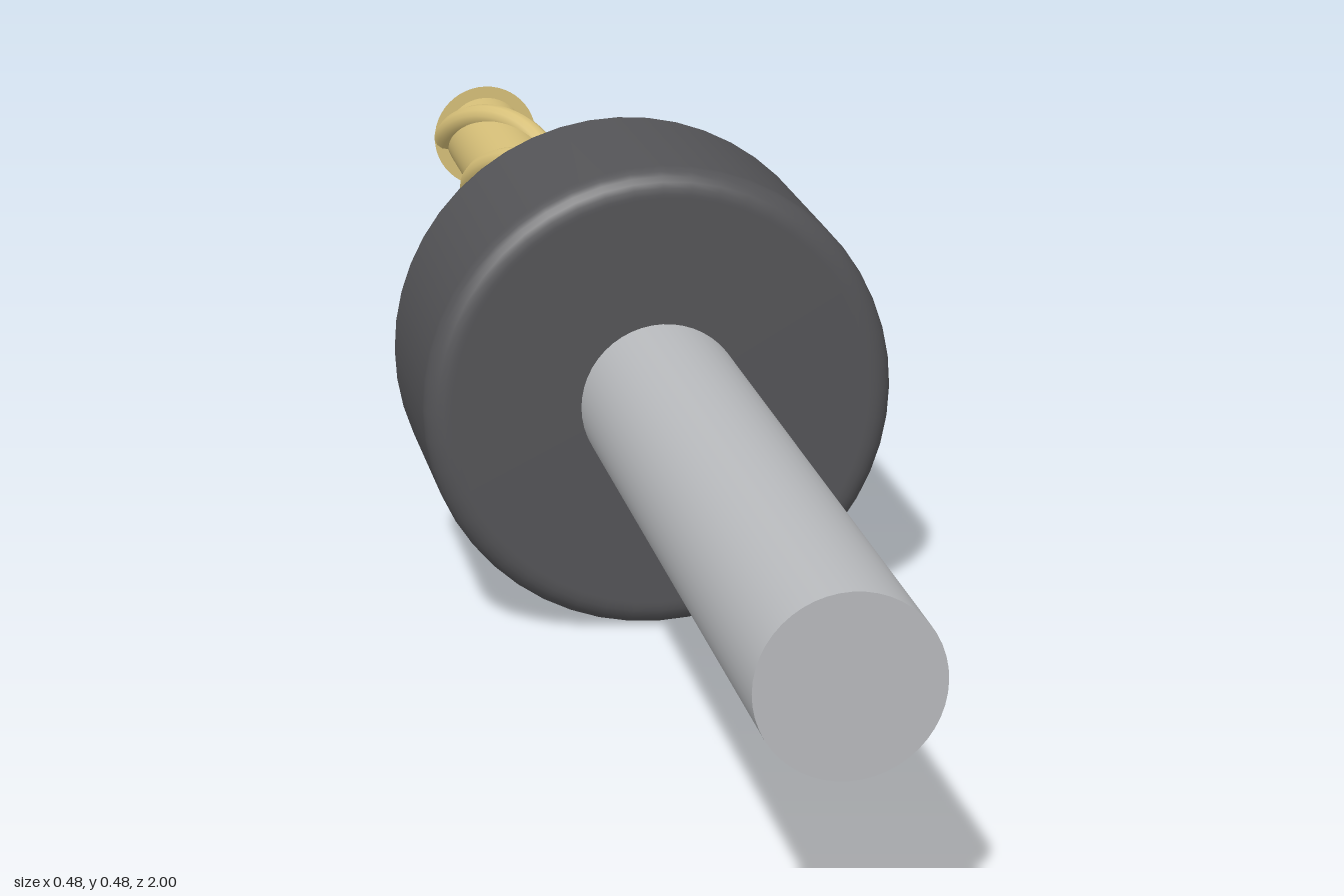
import * as THREE from 'three';

const AXIS_Y = 0.242;

export function createModel() {
  const steel = new THREE.MeshStandardMaterial({ color: 0xb8babd });
  steel.name = 'brushed steel';
  const rubber = new THREE.MeshStandardMaterial({ color: 0x545457 });
  rubber.name = 'dark collar grey';
  const gold = new THREE.MeshStandardMaterial({ color: 0xd6bf78 });
  gold.name = 'gold coating';

  const model = new THREE.Group();
  model.name = 'drillBit';

  const add = (name, geometry, material) => {
    const mesh = new THREE.Mesh(geometry, material);
    mesh.name = name;
    model.add(mesh);
    return mesh;
  };

  // Round section along z, from the front end to the back end
  const rod = (name, zFront, zBack, rFront, rBack, material) => {
    const geometry = new THREE.CylinderGeometry(rFront, rBack, zFront - zBack, 48);
    geometry.rotateX(Math.PI / 2);
    geometry.translate(0, AXIS_Y, (zFront + zBack) / 2);
    return add(name, geometry, material);
  };

  rod('shank', 1, -0.2, 0.083, 0.083, steel);
  rod('shankTaper', -0.2, -0.263, 0.083, 0.068, steel);
  rod('fluteCore', -0.26, -0.965, 0.051, 0.051, gold);
  rod('pointCone', -0.965, -1, 0.066, 0, gold);

  // Depth collar with rounded rims
  const R = 0.241, bevel = 0.024, z0 = -0.05, z1 = 0.21;
  const profile = [new THREE.Vector2(0.07, z0), new THREE.Vector2(R - bevel - 0.004, z0)];
  const rim = (z, from) => {
    for (let i = 0; i <= 6; i++) {
      const a = from + (i / 6) * Math.PI / 2;
      profile.push(new THREE.Vector2(R - bevel + bevel * Math.cos(a), z + bevel * Math.sin(a)));
    }
  };
  rim(z0 + bevel, -Math.PI / 2);
  rim(z1 - bevel, 0);
  profile.push(new THREE.Vector2(R - bevel - 0.004, z1), new THREE.Vector2(0.07, z1));
  const collar = new THREE.LatheGeometry(profile, 48);
  collar.rotateX(Math.PI / 2);
  collar.translate(0, AXIS_Y, 0);
  add('depthCollar', collar, rubber);

  // Two opposite spiral cutting ridges
  const spiralRadius = 0.052, ridge = 0.015, turns = 1.5;
  for (const [name, phase] of [['spiralRidgeA', 0], ['spiralRidgeB', Math.PI]]) {
    const points = [];
    for (let i = 0; i <= 36; i++) {
      const t = i / 36;
      const a = phase + t * turns * Math.PI * 2;
      points.push(new THREE.Vector3(
        Math.cos(a) * spiralRadius,
        AXIS_Y + Math.sin(a) * spiralRadius,
        -0.262 - t * 0.702,
      ));
    }
    const path = new THREE.CatmullRomCurve3(points);
    add(name, new THREE.TubeGeometry(path, 120, ridge, 12, false), gold);
  }

  return model;
}
